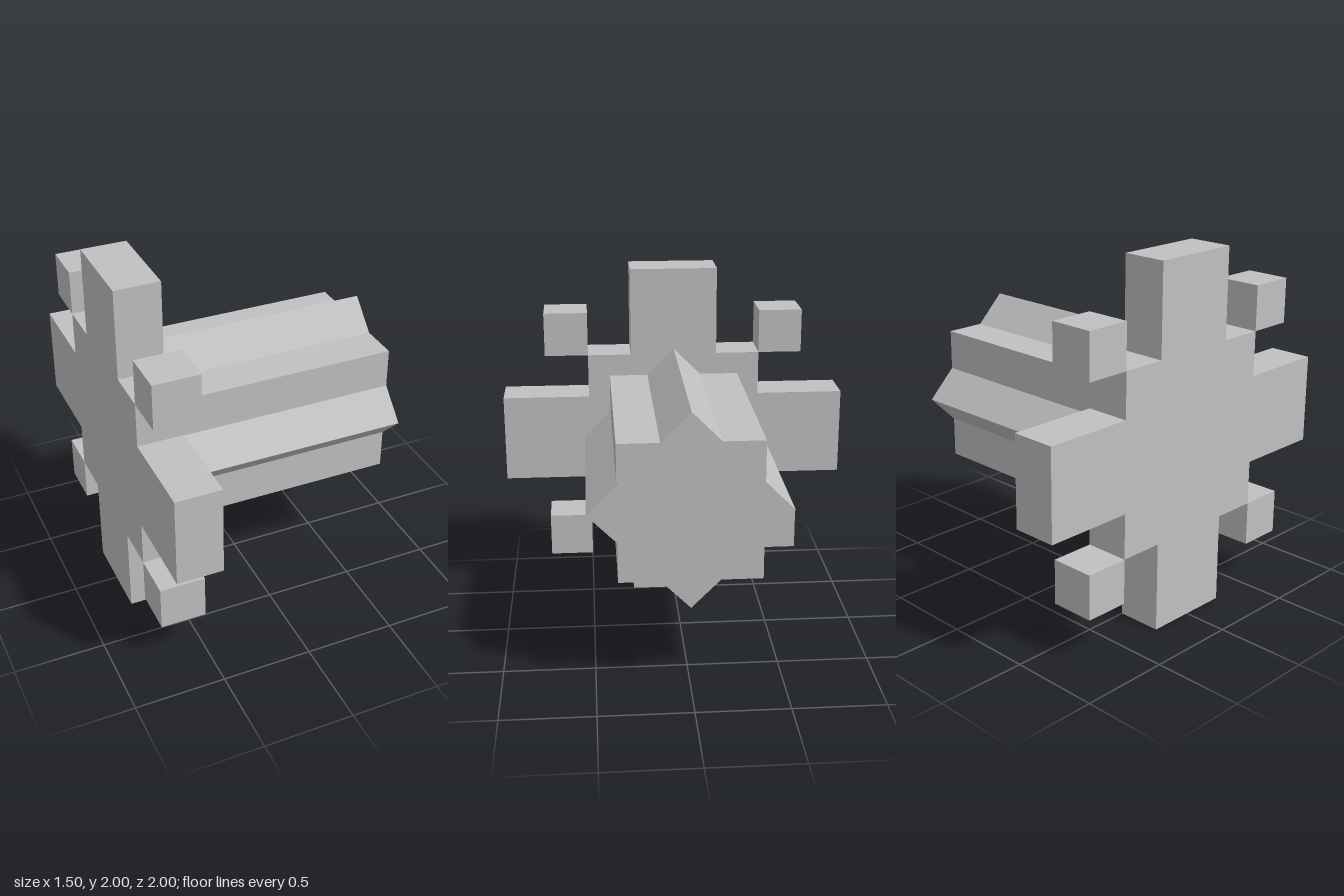
import * as THREE from 'three';

// Repeat a quarter outline four times around the centre
function fourfold(quarter) {
  const points = [];
  for (let i = 0; i < 4; i++) {
    for (const [x, y] of quarter) {
      points.push(new THREE.Vector2(x, y).rotateAround(new THREE.Vector2(), i * Math.PI / 2));
    }
  }
  return new THREE.Shape(points);
}

export function createModel() {
  const model = new THREE.Group();
  model.name = 'gearAndShaft';
  const gray = new THREE.MeshStandardMaterial({ color: 0xc0c0c0 });
  gray.name = 'gray';

  function add(name, geometry, x, y, z) {
    const mesh = new THREE.Mesh(geometry, gray);
    mesh.name = name;
    mesh.position.set(x, y, z);
    model.add(mesh);
  }

  // Extrude an outline along +x
  function extrudeX(shape, depth) {
    return new THREE.ExtrudeGeometry(shape, { depth, bevelEnabled: false }).rotateY(Math.PI / 2);
  }

  // Stepped cross-shaped gear plate
  const gear = fourfold([[1, -0.25], [1, 0.25], [0.5, 0.25], [0.5, 0.5], [0.25, 0.5]]);
  add('gearPlate', extrudeX(gear, 0.25), -0.75, 1, 0);

  // Eight-pointed shaft: two overlapping squares
  const s = 0.375, r = s * Math.SQRT2;
  const star = fourfold([[r, 0], [s, r - s], [s, s], [r - s, s]]);
  add('shaft', extrudeX(star, 1.25), -0.5, 1, 0);

  // Detached corner teeth
  const tooth = new THREE.BoxGeometry(0.25, 0.25, 0.25);
  for (const y of [-1, 1]) {
    for (const z of [-1, 1]) {
      add('cornerTooth', tooth, -0.625, 1 + y * 0.625, z * 0.625);
    }
  }
  return model;
}
